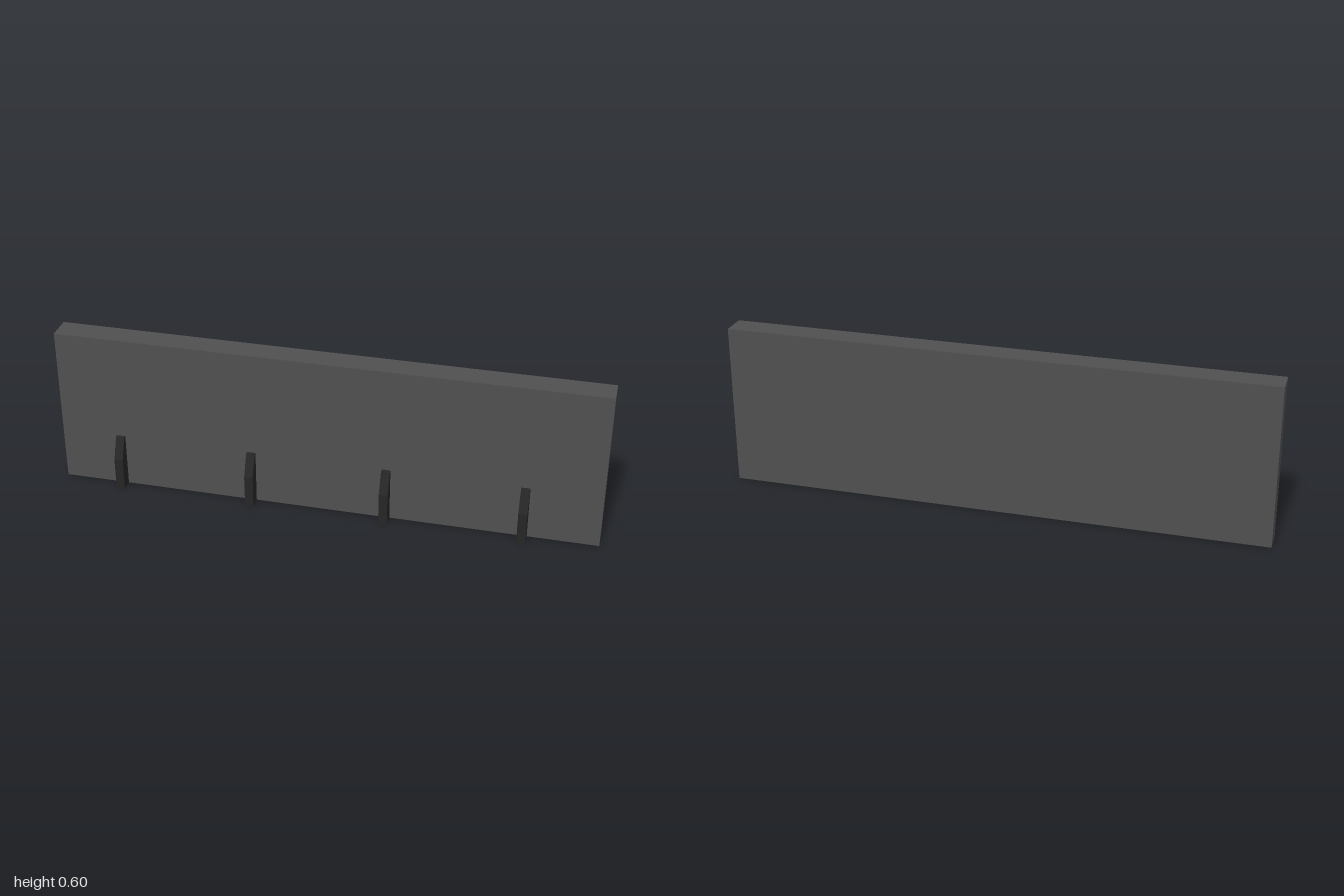
import * as THREE from 'three';

export function createModel() {
  const model = new THREE.Group();
  model.name = 'wallPanel';
  const panelMaterial = new THREE.MeshStandardMaterial({ color: 0x505050 });
  const bracketMaterial = new THREE.MeshStandardMaterial({ color: 0x262626 });

  // Upright slab
  const back = -0.07, front = 0.025, height = 0.6;
  const panel = new THREE.Mesh(new THREE.BoxGeometry(2, height, front - back), panelMaterial);
  panel.name = 'panel';
  panel.position.set(0, height / 2, (front + back) / 2);
  model.add(panel);

  // Bracket side profile, drawn as (z, y), with a sloped upper front
  const width = 0.032;
  const profile = new THREE.Shape([
    [front, 0], [0.07, 0], [0.07, 0.123], [0.036, 0.203], [front, 0.203],
  ].map(([z, y]) => new THREE.Vector2(z, y)));
  const bracketGeometry = new THREE.ExtrudeGeometry(profile, { depth: width, bevelEnabled: false });
  bracketGeometry.translate(0, 0, -width / 2);
  bracketGeometry.rotateY(-Math.PI / 2); // profile x becomes +z

  // Four evenly spaced brackets along the foot
  for (let i = 0; i < 4; i++) {
    const bracket = new THREE.Mesh(bracketGeometry, bracketMaterial);
    bracket.name = `bracket${i + 1}`;
    bracket.position.x = -0.773 + i * 0.5;
    model.add(bracket);
  }
  return model;
}
